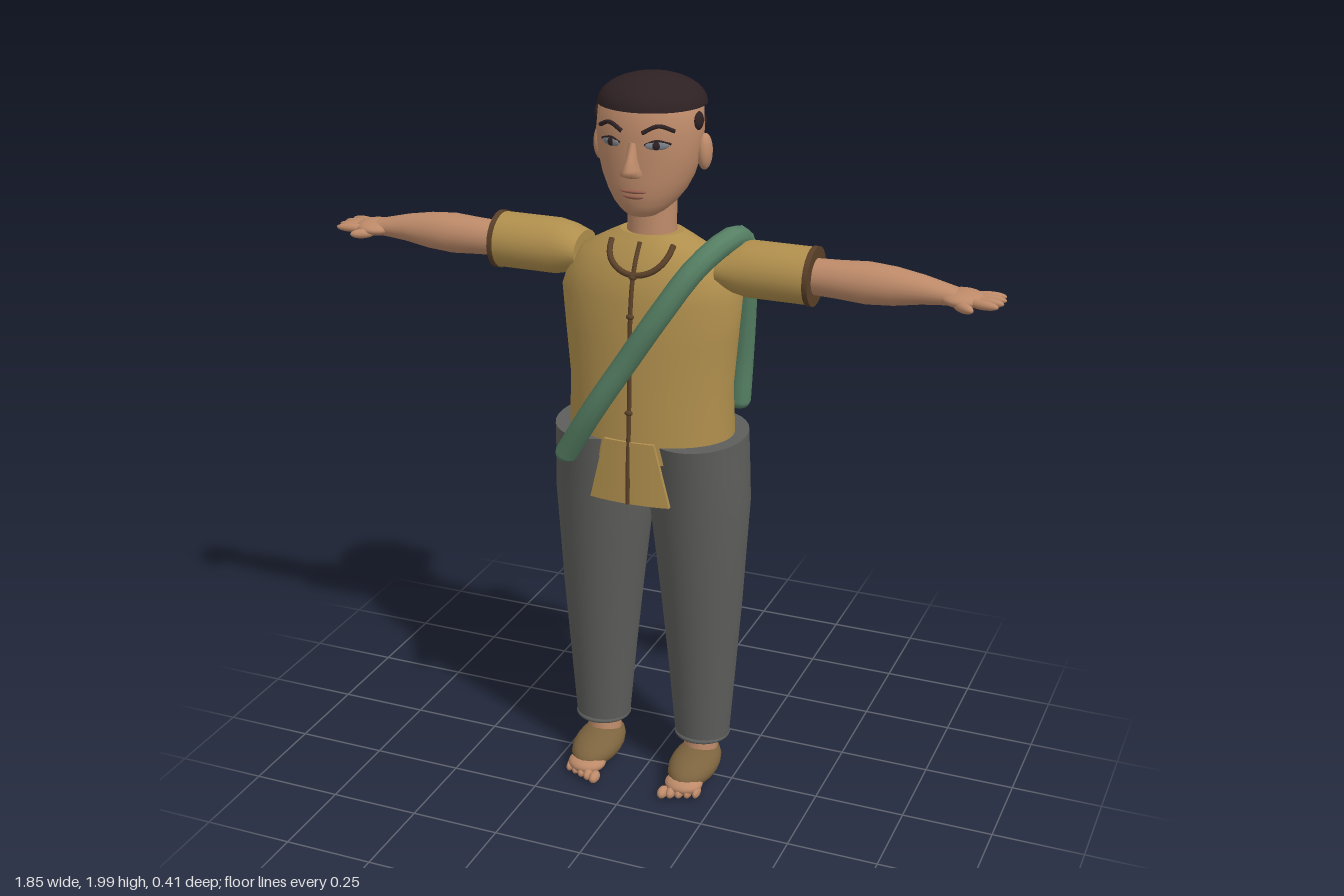
import * as THREE from 'three';

const mat = (name, color, side = THREE.FrontSide) => {
  const m = new THREE.MeshStandardMaterial({ color, side });
  m.name = name;
  return m;
};

export function createModel() {
  const skin = mat('skin', 0xbd8a69), shirt = mat('ochre cloth', 0xb08f4d), grey = mat('grey cloth', 0x5d5e5b);
  const green = mat('green cloth', 0x568064), hair = mat('dark hair', 0x2e2123), shoe = mat('shoe brown', 0x7d643f);
  const trim = mat('brown trim', 0x5a4028), lip = mat('lip', 0x96604e), eye = mat('eye grey', 0x7b8288);

  const root = new THREE.Group();
  root.name = 'figure';
  const add = (name, geo, m) => {
    const mesh = new THREE.Mesh(geo, m);
    mesh.name = name;
    root.add(mesh);
    return mesh;
  };
  const V = (x, y, z) => new THREE.Vector3(x, y, z);

  // Closed loft through ellipses [y, cx, cz, rx, rz], bottom to top
  const loft = (rings, n = 32) => {
    const pos = [], idx = [];
    const ring = ([y, cx, cz, rx, rz]) => {
      for (let i = 0; i < n; i++) {
        const a = (i / n) * Math.PI * 2;
        pos.push(cx + Math.sin(a) * rx, y, cz + Math.cos(a) * rz);
      }
    };
    rings.forEach(ring);
    for (let j = 0; j < rings.length - 1; j++)
      for (let i = 0; i < n; i++) {
        const a = j * n + i, b = j * n + (i + 1) % n;
        idx.push(a, b, b + n, a, b + n, a + n);
      }
    for (const [r, up] of [[rings[0], false], [rings[rings.length - 1], true]]) {
      const s = pos.length / 3;
      ring(r);
      pos.push(r[1], r[0], r[2]);
      for (let i = 0; i < n; i++) {
        const a = s + i, b = s + (i + 1) % n;
        idx.push(...(up ? [a, b, s + n] : [b, a, s + n]));
      }
    }
    const g = new THREE.BufferGeometry();
    g.setAttribute('position', new THREE.Float32BufferAttribute(pos, 3));
    g.setIndex(idx);
    g.computeVertexNormals();
    return g;
  };
  // Loft running outward along x on side s, around the arm axis
  const limb = (name, rings, m, s) => {
    const mesh = add(name, loft(rings.map(([x, r, rz = r, y = 0]) => [x, -s * y, 0, r, rz]), 24).rotateZ(-s * Math.PI / 2), m);
    if (s < 0) mesh.geometry.computeVertexNormals();
    mesh.position.set(0, 1.515, -0.02);
  };
  const ball = (name, m, p, r, ry = 0) => {
    const mesh = add(name, new THREE.SphereGeometry(1, 20, 14), m);
    mesh.position.set(...p);
    mesh.scale.set(...r);
    mesh.rotation.y = ry;
    return mesh;
  };
  const tube = (name, pts, r, m, seg = 16) =>
    add(name, new THREE.TubeGeometry(new THREE.CatmullRomCurve3(pts.map(p => V(...p))), seg, r, 10), m);

  // Shirt body
  const body = [
    [1.0, 0, -0.012, 0.225, 0.162], [1.05, 0, -0.012, 0.23, 0.163], [1.18, 0, -0.01, 0.225, 0.154],
    [1.32, 0, -0.01, 0.238, 0.15], [1.43, 0, -0.01, 0.248, 0.142], [1.49, 0, -0.01, 0.228, 0.13],
    [1.54, 0, -0.012, 0.19, 0.11], [1.575, 0, -0.013, 0.125, 0.086], [1.595, 0, -0.013, 0.085, 0.07]];
  add('shirtBody', loft(body, 48), shirt);
  const shirtZ = (x, y) => {
    const j = Math.max(1, body.findIndex(r => r[0] >= y)), a = body[j - 1], b = body[j];
    const mix = k => THREE.MathUtils.lerp(a[k], b[k], (y - a[0]) / (b[0] - a[0]));
    return mix(2) + mix(4) * Math.sqrt(Math.max(0, 1 - (x / mix(3)) ** 2));
  };

  // Flared shirt tails, front and back
  for (const [name, s, z0] of [['frontTail', 1, 0.151], ['backTail', -1, 0.177]]) {
    const g = new THREE.BoxGeometry(1, 1, 1, 12, 4, 1), p = g.attributes.position;
    for (let i = 0; i < p.count; i++) {
      const t = 0.5 - p.getY(i), x = p.getX(i) * (0.14 + 0.085 * t);
      p.setXYZ(i, x, 1.06 - 0.175 * t, s * (z0 + 0.003 * t - x * x * 0.9) + p.getZ(i) * 0.012);
    }
    g.computeVertexNormals();
    add(name, g, shirt);
  }

  // Placket, knots and collar
  const front = [1.58, 1.54, 1.49, 1.43, 1.32, 1.18, 1.06].map(y => [0, y, shirtZ(0, y) + 0.002]);
  tube('placket', [...front, [0, 0.97, 0.158], [0, 0.886, 0.16]], 0.006, trim, 40);
  for (const y of [1.5, 1.4, 1.27, 1.14]) ball('knot', trim, [0, y, shirtZ(0, y) + 0.004], [0.011, 0.008, 0.008]);
  const collar = [];
  for (let i = 0; i <= 10; i++) {
    const a = Math.PI * i / 10, x = -0.085 * Math.cos(a), y = 1.575 - 0.07 * Math.sin(a);
    collar.push([x, y, shirtZ(x, y) + 0.003]);
  }
  tube('collar', collar, 0.008, trim, 30);

  // Trousers
  add('trouserSeat', loft([[0.88, 0, -0.015, 0.12, 0.1], [1.04, 0, -0.012, 0.15, 0.14]]), grey);
  for (const s of [1, -1]) {
    add('trouserLeg', loft([
      [0.13, 0.152, -0.018, 0.077, 0.072], [0.35, 0.15, -0.018, 0.095, 0.09], [0.55, 0.147, -0.018, 0.112, 0.11],
      [0.72, 0.142, -0.018, 0.126, 0.127], [0.85, 0.138, -0.018, 0.137, 0.141], [0.95, 0.136, -0.016, 0.134, 0.152],
      [1.05, 0.133, -0.012, 0.132, 0.165]].map(([y, x, z, a, b]) => [y, s * x, z, a, b])), grey);
    const hem = add('trouserHem', new THREE.TorusGeometry(0.073, 0.006, 8, 28).rotateX(Math.PI / 2), grey);
    hem.position.set(s * 0.152, 0.134, -0.018);

    // Feet, slippers and toes
    add('ankle', loft([[0.06, s * 0.148, -0.015, 0.048, 0.055], [0.15, s * 0.15, -0.018, 0.045, 0.05]], 20), skin);
    ball('slipper', shoe, [s * 0.148, 0.053, 0.03], [0.068, 0.046, 0.118]).rotation.x = 0.06;
    ball('forefoot', skin, [s * 0.148, 0.034, 0.115], [0.054, 0.024, 0.05]);
    for (let i = 0; i < 5; i++)
      ball('toe', skin, [s * (0.104 + i * 0.022), 0.021, 0.165 - i * 0.009], [0.014 - i * 0.001, 0.016, 0.024]);

    // Sleeve, cuff and arm
    limb('sleeve', [[0.195, 0.048, 0.075], [0.23, 0.064, 0.078], [0.27, 0.074, 0.079], [0.36, 0.074, 0.079], [0.435, 0.074, 0.079]], shirt, s);
    limb('cuff', [[0.43, 0.077, 0.081], [0.444, 0.077, 0.081]], trim, s);
    limb('arm', [[0.42, 0.046], [0.5, 0.049, 0.05], [0.58, 0.054, 0.056], [0.65, 0.049, 0.05], [0.72, 0.037, 0.042], [0.785, 0.026, 0.034, -0.005], [0.81, 0.022, 0.036, -0.008]], skin, s);
    // Hand
    ball('palm', skin, [s * 0.82, 1.506, -0.022], [0.058, 0.021, 0.058]);
    for (let i = 0; i < 4; i++) {
      const k = i - 1.5;
      ball('finger', skin, [s * (0.885 - Math.abs(k) * 0.006), 1.506, -0.022 - k * 0.025], [0.045, 0.012, 0.0125], s * k * 0.13);
    }
    ball('thumb', skin, [s * 0.835, 1.498, 0.032], [0.034, 0.013, 0.014], -s * 0.6);

    // Ear, eye, brow
    ball('ear', skin, [s * 0.142, 1.81, -0.015], [0.019, 0.047, 0.027]);
    const fz = x => 0.122 * Math.sqrt(1 - (x / 0.139) ** 2);
    ball('eye', eye, [s * 0.062, 1.845, fz(0.062)], [0.03, 0.011, 0.005], s * 0.45);
    ball('iris', hair, [s * 0.061, 1.845, fz(0.061) + 0.003], [0.011, 0.01, 0.004], s * 0.45);
    const arc = (name, pts, r) => tube(name, pts.map(([x, y]) => [s * x, y, fz(x) + 0.001]), r, hair);
    arc('eyelid', [[0.032, 1.846], [0.06, 1.857], [0.093, 1.848]], 0.003);
    arc('brow', [[0.026, 1.876], [0.065, 1.894], [0.1, 1.88]], 0.0055);
    ball('sideLock', hair, [s * 0.134, 1.893, 0.012], [0.012, 0.024, 0.022]);
  }

  // Neck and head
  add('neck', loft([[1.56, 0, -0.013, 0.07, 0.068], [1.61, 0, -0.012, 0.064, 0.063], [1.72, 0, -0.015, 0.066, 0.064]]), skin);
  add('head', loft([
    [1.653, 0, 0.052, 0.038, 0.04], [1.665, 0, 0.043, 0.058, 0.06], [1.685, 0, 0.03, 0.08, 0.083],
    [1.715, 0, 0.017, 0.102, 0.102], [1.75, 0, 0.01, 0.119, 0.111], [1.8, 0, 0.003, 0.134, 0.118],
    [1.86, 0, 0, 0.14, 0.122], [1.93, 0, -0.006, 0.135, 0.121], [1.97, 0, -0.012, 0.1, 0.092]]), skin);
  add('nose', loft([[1.762, 0, 0.12, 0.02, 0.016], [1.77, 0, 0.124, 0.029, 0.034], [1.785, 0, 0.125, 0.021, 0.041],
    [1.81, 0, 0.12, 0.014, 0.026], [1.85, 0, 0.115, 0.01, 0.011]], 16), skin);
  ball('upperLip', lip, [0, 1.725, 0.115], [0.035, 0.006, 0.01]);
  ball('lowerLip', lip, [0, 1.711, 0.113], [0.028, 0.007, 0.01]);

  // Hair cap, back roll and bun
  const cap = [];
  for (let i = 0; i <= 8; i++) {
    const a = i / 8 * 1.5;
    cap.push([1.926 + 0.074 * Math.sin(a), 0, -0.014, 0.14 * Math.cos(a), 0.14 * Math.cos(a)]);
  }
  add('hairCap', loft(cap, 40), hair);
  ball('backRoll', hair, [0, 1.865, -0.085], [0.118, 0.052, 0.075]);
  ball('bun', hair, [0, 1.785, -0.152], [0.056, 0.062, 0.052]);

  // Shoulder strap
  const path = [[-0.18, 1.0, 0.15], [-0.09, 1.145, 0.175], [0, 1.285, 0.168], [0.09, 1.425, 0.152], [0.165, 1.54, 0.1],
    [0.222, 1.595, 0], [0.222, 1.55, -0.105], [0.212, 1.4, -0.145], [0.198, 1.22, -0.17], [0.192, 1.09, -0.17]];
  tube('strap', path, 0.031, green, 28);
  for (const p of [path[0], path[path.length - 1]]) ball('strapEnd', green, p, [0.03, 0.024, 0.028]);

  return root;
}
